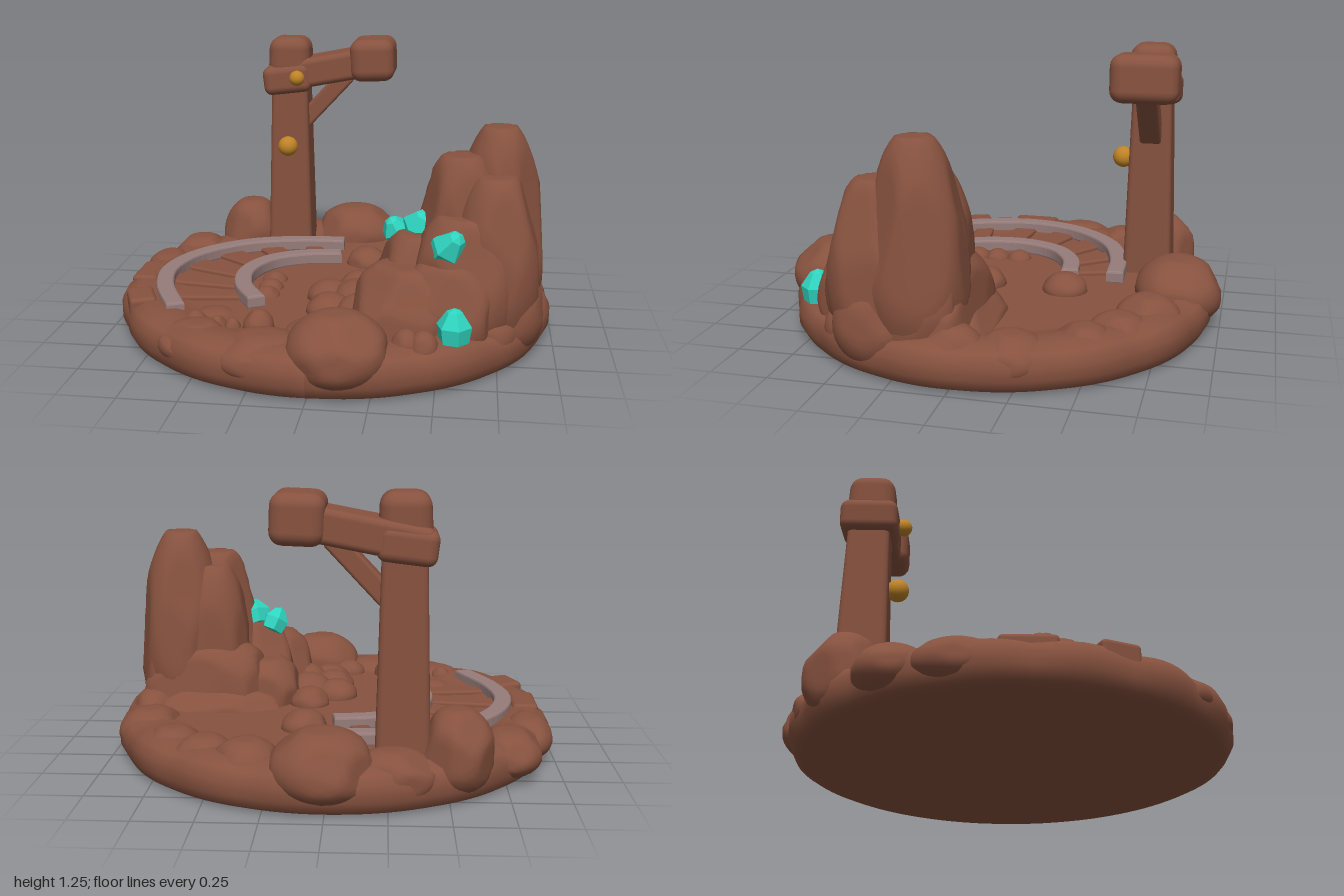
import * as THREE from 'three';
import { mergeVertices } from 'three/addons/utils/BufferGeometryUtils.js';
import { RoundedBoxGeometry } from 'three/addons/geometries/RoundedBoxGeometry.js';

const paint = (name, color) => {
  const m = new THREE.MeshStandardMaterial({ color });
  m.name = name;
  return m;
};

function seeded(seed) {
  let s = seed * 7919 + 17;
  return () => (s = (s * 16807) % 2147483647) / 2147483647;
}

export function createModel() {
  const root = new THREE.Group();
  root.name = 'mineDiorama';
  const earth = paint('brownEarth', 0x87523f);
  const steel = paint('railGrey', 0x967c7a);
  const gold = paint('goldBolt', 0xbf8326);
  const teal = paint('tealCrystal', 0x2fd3be);

  const add = (name, geo, mat, x = 0, y = 0, z = 0, parent = root) => {
    const m = new THREE.Mesh(geo, mat);
    m.name = name;
    m.position.set(x, y, z);
    parent.add(m);
    return m;
  };

  // Chunky stone: a sphere cut by seeded planes, narrowing upwards by taper
  let count = 0;
  function rock(name, x, z, bottom, top, rx, rz, { taper = 0.12, detail = 6, planes = 9, ball = 1.13, lift = 1.3 } = {}, parent = root) {
    const rnd = seeded(++count);
    const cuts = [];
    for (let i = 0; i < 6; i++) {
      const n = new THREE.Vector3();
      n.setComponent(i >> 1, i % 2 ? 1 : -1);
      cuts.push([n, 1]);
    }
    for (let i = 0; i < planes; i++) {
      const a = (i + rnd() * 0.7) / planes * Math.PI * 2;
      cuts.push([new THREE.Vector3(Math.cos(a), rnd() * lift - 0.25, Math.sin(a)).normalize(), 0.92 + rnd() * 0.14]);
    }
    const g0 = new THREE.IcosahedronGeometry(1, detail);
    g0.deleteAttribute('uv');
    g0.deleteAttribute('normal');
    const g = mergeVertices(g0, 1e-4), p = g.attributes.position, d = new THREE.Vector3();
    for (let i = 0; i < p.count; i++) {
      d.fromBufferAttribute(p, i).normalize();
      let r = ball;
      for (const [n, k] of cuts) {
        const c = d.dot(n);
        if (c > 0.05) r = Math.min(r, k / c);
      }
      d.multiplyScalar(r);
      const w = 1 - taper * d.y;
      p.setXYZ(i, d.x * rx * w, d.y * (top - bottom) / 2, d.z * rz * w);
    }
    g.computeVertexNormals();
    return add(name, g, earth, x, (top + bottom) / 2, z, parent);
  }

  // Round base with a lumpy raised rim
  const profile = [[0, 0.005], [0.93, 0.005], [0.965, 0.02], [0.99, 0.07], [0.99, 0.13], [0.965, 0.175], [0.91, 0.2],
    [0.82, 0.2], [0.76, 0.178], [0.7, 0.17], [0, 0.17]].map(q => new THREE.Vector2(...q));
  const base = new THREE.LatheGeometry(profile, 120);
  const bp = base.attributes.position;
  for (let i = 0; i < bp.count; i++) {
    const x = bp.getX(i), y = bp.getY(i), z = bp.getZ(i), a = Math.atan2(z, x);
    const edge = Math.min(1, Math.max(0, (Math.hypot(x, z) - 0.75) / 0.2)) * Math.min(1, y / 0.08);
    const lump = Math.abs(Math.sin(a * 8 + 0.5)) - 0.6;
    const s = 1 + edge * lump * 0.016;
    bp.setXYZ(i, x * s, y + (y > 0.15 ? edge * lump * 0.015 : 0), z * s * 0.97);
  }
  base.computeVertexNormals();
  add('base', base, earth);

  // Rim stones: x, z, top, rx, rz
  const rim = new THREE.Group();
  rim.name = 'rimStones';
  root.add(rim);
  [[0.01, -0.81, 0.325, 0.21, 0.19], [-0.53, -0.68, 0.38, 0.15, 0.16], [-0.27, -0.79, 0.24, 0.17, 0.13],
    [-0.76, -0.47, 0.23, 0.14, 0.15], [-0.87, -0.22, 0.215, 0.11, 0.17], [0.33, -0.71, 0.25, 0.14, 0.14],
    [0.52, -0.61, 0.23, 0.13, 0.13], [0.67, -0.49, 0.225, 0.13, 0.13], [0.82, -0.22, 0.225, 0.14, 0.15],
    [0.85, 0.02, 0.25, 0.11, 0.14], [0.11, 0.81, 0.335, 0.2, 0.18], [-0.2, 0.77, 0.22, 0.2, 0.16],
    [-0.5, 0.66, 0.21, 0.16, 0.13], [0.8, 0.35, 0.4, 0.14, 0.17], [0.7, 0.45, 0.27, 0.13, 0.15]
  ].forEach(([x, z, top, rx, rz]) => rock('rimStone', x, z, 0.03, top, rx, rz, { ball: 1.07, taper: 0.05 }, rim));

  // Rocky outcrop built from tall and low chunks
  const crag = new THREE.Group();
  crag.name = 'outcrop';
  root.add(crag);
  [[0.74, 0.19, 0.98, 0.19, 0.205, 0.17, 1.1], [0.58, 0.28, 0.87, 0.19, 0.18, 0.12, 1.12],
    [0.73, 0.36, 0.8, 0.18, 0.19, 0.1, 1.12], [0.59, 0.17, 0.82, 0.17, 0.17, 0.12, 1.12],
    [0.6, 0.42, 0.64, 0.21, 0.18, 0.1, 1.16], [0.42, 0.33, 0.54, 0.2, 0.2, 0.14, 1.16],
    [0.35, 0.49, 0.44, 0.21, 0.2, 0.1, 1.16], [0.53, 0.52, 0.46, 0.2, 0.15, 0.1, 1.16],
    [0.6, 0.11, 0.46, 0.3, 0.17, 0.12, 1.16], [0.34, 0.16, 0.37, 0.17, 0.17, 0.15, 1.16],
    [0.79, 0.22, 0.62, 0.13, 0.22, 0.06, 1.16], [0.59, 0.01, 0.26, 0.34, 0.13, 0.15, 1.13]
  ].forEach(([x, z, top, rx, rz, taper, ball]) =>
    rock('cragChunk', x, z, 0.06, top, rx, rz, { taper, ball, detail: 9, planes: 7, lift: 0.9 }, crag));

  // Loose stones on the floor: x, z, top, radius
  const loose = new THREE.Group();
  loose.name = 'looseStones';
  root.add(loose);
  [[0.12, -0.31, 0.25, 0.1], [0.12, 0.06, 0.25, 0.09], [0, 0.2, 0.25, 0.1], [0.02, 0.37, 0.25, 0.1],
    [0.14, 0.24, 0.27, 0.12], [0.16, 0.42, 0.27, 0.1], [-0.05, 0.65, 0.23, 0.08], [0.05, 0.55, 0.23, 0.1],
    [-0.29, 0, 0.21, 0.06], [-0.29, 0.11, 0.21, 0.06], [-0.29, 0.21, 0.21, 0.06], [-0.25, 0.6, 0.25, 0.065],
    [-0.53, 0.57, 0.22, 0.05], [-0.43, 0.59, 0.21, 0.04], [-0.36, 0.61, 0.21, 0.035], [-0.48, 0.44, 0.185, 0.09],
    [0.38, 0.74, 0.25, 0.06], [0.45, 0.75, 0.25, 0.06]
  ].forEach(([x, z, top, r]) => rock('looseStone', x, z, 0.12, top, r, r, { detail: 4, ball: 1.04 }, loose));

  // Curved rails: flat ribbons of constant width, extruded upwards
  const path = pts => new THREE.CatmullRomCurve3(pts.map(([x, z]) => new THREE.Vector3(x, 0, z)));
  const outer = path([[-0.03, -0.515], [-0.25, -0.5], [-0.5, -0.42], [-0.71, -0.22], [-0.79, 0.02], [-0.755, 0.25], [-0.64, 0.5]]);
  const inner = path([[-0.02, -0.305], [-0.18, -0.28], [-0.34, -0.18], [-0.42, 0], [-0.4, 0.2], [-0.31, 0.37]]);
  for (const [name, curve] of [['outerRail', outer], ['innerRail', inner]]) {
    const sides = [[], []];
    for (let i = 0; i <= 32; i++) {
      const p = curve.getPointAt(i / 32), t = curve.getTangentAt(i / 32);
      [1, -1].forEach((s, k) => sides[k].push(new THREE.Vector2(p.x - t.z * 0.03 * s, p.z + t.x * 0.03 * s)));
    }
    const g = new THREE.ExtrudeGeometry(new THREE.Shape([...sides[0], ...sides[1].reverse()]),
      { depth: 0.04, bevelThickness: 0.01, bevelSize: 0.01, bevelSegments: 2 });
    g.rotateX(Math.PI / 2);
    add(name, g, steel, 0, 0.216, 0);
  }

  // Sleepers fanned between the rails
  for (let i = 0; i < 6; i++) {
    const u = 0.1 + i * 0.15, a = outer.getPointAt(u), b = inner.getPointAt(u);
    const w = 0.07 + 0.06 * Math.sin(u * Math.PI);
    const s = add('sleeper', new RoundedBoxGeometry(a.distanceTo(b) + 0.04, 0.06, w, 2, 0.012), earth,
      (a.x + b.x) / 2, 0.16, (a.z + b.z) / 2);
    s.rotation.y = -Math.atan2(b.z - a.z, b.x - a.x);
  }
  for (const [x, z, turn] of [[-0.885, 0.04, 0], [-0.83, 0.37, 0.4]])
    add('sleeperEnd', new RoundedBoxGeometry(0.12, 0.1, 0.23 - turn * 0.15, 2, 0.02), earth, x, 0.165, z).rotation.y = turn;

  // Timber gallows: tapered post, cap, sloping beam, end block and brace
  const gallows = new THREE.Group();
  gallows.name = 'gallows';
  root.add(gallows);
  const timber = (name, w, h, d, r, x, y, z, tilt = 0, taper = 0) => {
    const g = new RoundedBoxGeometry(w, h, d, 3, r), p = g.attributes.position;
    for (let i = 0; i < p.count; i++) {
      const s = 1 - taper * p.getY(i) / h;
      p.setX(i, p.getX(i) * s);
      p.setZ(i, p.getZ(i) * s);
    }
    add(name, g, earth, x, y, z, gallows).rotation.z = tilt;
  };
  timber('post', 0.205, 0.95, 0.205, 0.025, -0.308, 0.575, -0.64, 0, 0.24);
  timber('postCap', 0.21, 0.2, 0.21, 0.06, -0.31, 1.155, -0.635, 0, 0.08);
  timber('beamCollar', 0.24, 0.145, 0.255, 0.04, -0.32, 1.045, -0.64, 0.12);
  timber('beam', 0.48, 0.145, 0.23, 0.03, -0.18, 1.085, -0.645, 0.19);
  timber('endBlock', 0.22, 0.21, 0.295, 0.055, 0.112, 1.148, -0.645, 0.04);
  timber('brace', 0.085, 0.34, 0.1, 0.015, -0.13, 0.945, -0.64, -0.75);

  // Round bolts
  add('lowerBolt', new THREE.SphereGeometry(0.05, 24, 16), gold, -0.31, 0.71, -0.505, gallows);
  add('upperBolt', new THREE.SphereGeometry(0.038, 24, 16), gold, -0.26, 1.06, -0.495, gallows);

  // Faceted crystals: x, y, z, radius, height, tilt around x and z
  [[0.3, 0.53, 0.28, 0.065, 0.13, 0.3, 0.4], [0.41, 0.56, 0.3, 0.08, 0.14, 0.5, -0.3],
    [0.54, 0.535, 0.53, 0.078, 0.18, 0.8, -0.5], [0.57, 0.26, 0.7, 0.074, 0.15, 0, 0]
  ].forEach(([x, y, z, r, h, tx, tz]) => {
    const pts = [[0, -0.5], [0.85, -0.45], [1, 0], [0.45, 0.4], [0, 0.5]].map(([a, b]) => new THREE.Vector2(a * r, b * h));
    const g = new THREE.LatheGeometry(pts, 6).toNonIndexed();
    g.computeVertexNormals();
    add('crystal', g, teal, x, y, z).rotation.set(tx, 0.3, tz);
  });

  return root;
}
